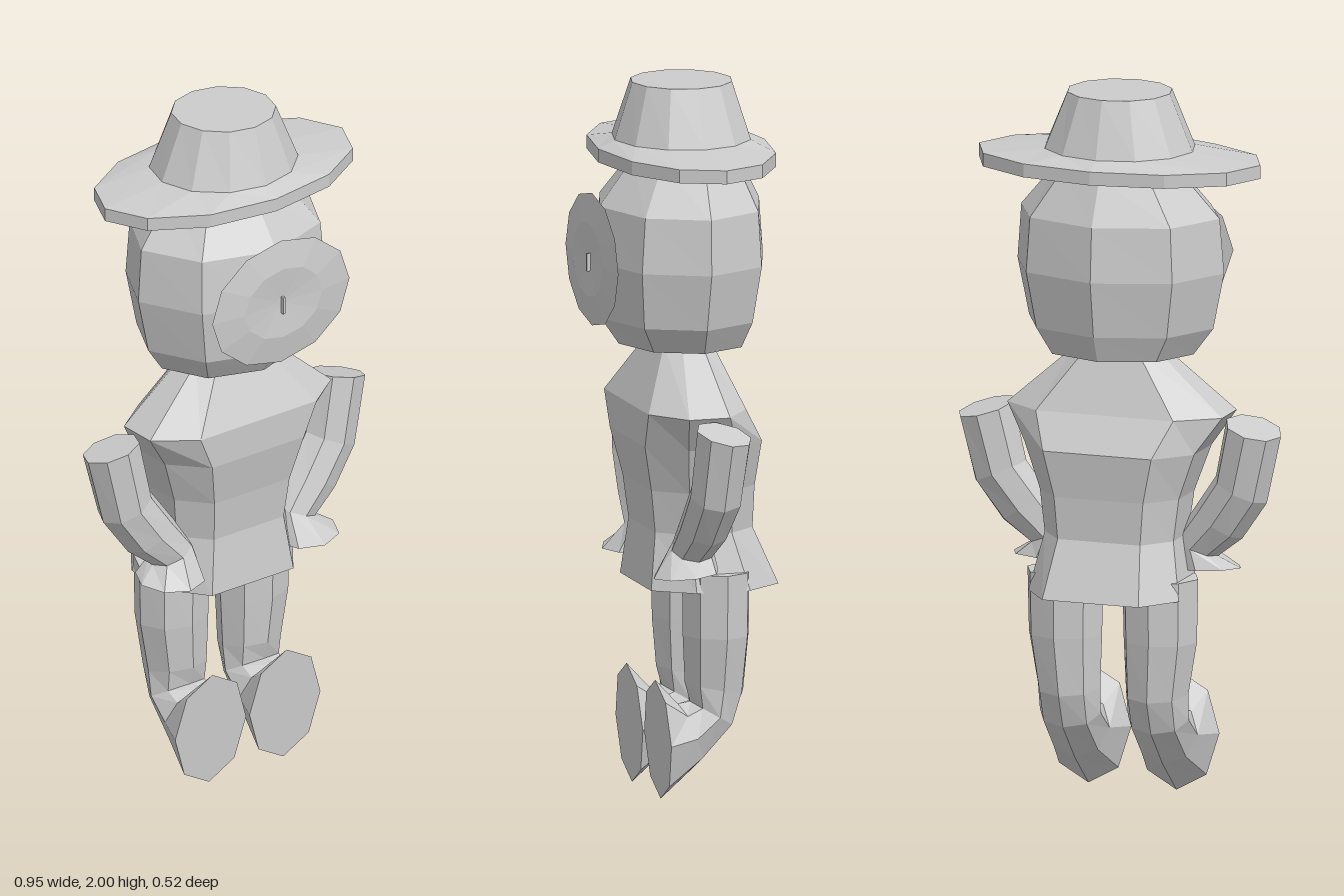
import * as THREE from 'three';

const grey = new THREE.MeshStandardMaterial({ color: 0xcccccc, flatShading: true });
grey.name = 'plainGrey';

// Closed skin over rings of corners, with a flat cap at each end
function loft(name, rings) {
  const pos = [];
  const n = rings[0].length;
  const tri = (...pts) => pts.forEach((p) => pos.push(p.x, p.y, p.z));
  const centre = (ring) => ring.reduce((s, p) => s.add(p), new THREE.Vector3()).divideScalar(n);
  const first = rings[0], last = rings[rings.length - 1];
  const c0 = centre(first), c1 = centre(last);
  for (let j = 0; j < n; j++) {
    const k = (j + 1) % n;
    tri(c0, first[k], first[j]);
    tri(c1, last[j], last[k]);
    for (let i = 0; i < rings.length - 1; i++) {
      const a = rings[i], b = rings[i + 1];
      tri(a[j], a[k], b[j]);
      tri(a[k], b[k], b[j]);
    }
  }
  const geo = new THREE.BufferGeometry();
  geo.setAttribute('position', new THREE.Float32BufferAttribute(pos, 3));
  geo.computeVertexNormals();
  const mesh = new THREE.Mesh(geo, grey);
  mesh.name = name;
  return mesh;
}

// Ring of n corners around centre c, spanned by half axes u and v; s = -1 mirrors it in x
function ring(n, c, u, v, s = 1) {
  return Array.from({ length: n }, (_, i) => {
    const t = (s * i * 2 * Math.PI) / n;
    const at = (k) => c[k] + Math.cos(t) * u[k] + Math.sin(t) * v[k];
    return new THREE.Vector3(s * at(0), at(1), at(2));
  });
}

// Level ring from height, half width, front z and back z
const level = (n) => ([y, rx, front, back]) =>
  ring(n, [0, y, (front + back) / 2], [rx, 0, 0], [0, 0, (front - back) / 2]);

// Level eight-cornered ring with flat front, back and sides
const bodyOutline = [[1, 0.42], [0.64, 1], [-0.64, 1], [-1, 0.42],
  [-1, -0.42], [-0.64, -1], [0.64, -1], [1, -0.42]];
const bodyRing = ([y, rx, front, back]) => bodyOutline.map(([x, z]) =>
  new THREE.Vector3(x * rx, y, (front + back) / 2 + (z * (front - back)) / 2));

export function createModel() {
  const model = new THREE.Group();
  model.name = 'hattedFigure';

  // Hat with a wide oval brim
  model.add(loft('hat', [
    [2.0, 0.148, 0.126, -0.16],
    [1.84, 0.215, 0.177, -0.211],
    [1.818, 0.415, 0.225, -0.259],
    [1.78, 0.415, 0.225, -0.259],
  ].map(level(12))));

  // Head
  model.add(loft('head', [
    [1.785, 0.18, 0.125, -0.18],
    [1.655, 0.293, 0.222, -0.243],
    [1.5, 0.305, 0.238, -0.254],
    [1.34, 0.272, 0.217, -0.228],
    [1.265, 0.217, 0.165, -0.196],
  ].map(level(8))));

  // Shallow dished face plate with a tiny nose
  model.add(loft('facePlate', [
    [0.24, 0.187, 0.243],
    [0.135, 0.105, 0.256],
    [0.02, 0.016, 0.248],
  ].map(([rx, ry, z]) => ring(12, [0, 1.508, z], [rx, 0, 0], [0, ry, 0]))));
  const nose = new THREE.Mesh(new THREE.BoxGeometry(0.008, 0.05, 0.012), grey);
  nose.name = 'nose';
  nose.position.set(0, 1.5, 0.253);
  model.add(nose);

  // Torso from neck to hem
  model.add(loft('torso', [
    [1.268, 0.125, 0.06, -0.08],
    [1.1, 0.317, 0.143, -0.14],
    [1.0, 0.25, 0.14, -0.2],
    [0.87, 0.205, 0.112, -0.188],
    [0.75, 0.19, 0.098, -0.185],
    [0.59, 0.222, 0.116, -0.254],
  ].map(bodyRing)));

  for (const [side, s] of [['left', 1], ['right', -1]]) {
    // Arm bent inward at the elbow, flaring to a flat hand
    model.add(loft(side + 'Arm', [
      [[0.395, 1.07, -0.015], [0.08, -0.02, 0], [0, 0.012, 0.078]],
      [[0.355, 0.89, -0.005], [0.075, -0.033, 0], [0, 0, 0.075]],
      [[0.285, 0.79, 0.008], [0.068, -0.042, 0], [0, 0, 0.068]],
      [[0.215, 0.715, 0.02], [0.062, -0.025, 0], [0, 0, 0.06]],
      [[0.235, 0.65, 0.045], [0.1, 0.004, 0], [0, -0.008, 0.094]],
    ].map(([c, u, v]) => ring(8, c, u, v, s))));

    // Leg curving forward into a flared, flat-ended foot
    model.add(loft(side + 'Leg', [
      [[0.14, 0.64, -0.072], [0.112, 0, 0], [0, 0, 0.098]],
      [[0.14, 0.46, -0.072], [0.108, 0, 0], [0, 0, 0.096]],
      [[0.13, 0.31, -0.07], [0.092, 0, 0], [0, 0.015, 0.085]],
      [[0.13, 0.235, -0.06], [0.09, 0, 0], [0, 0.035, 0.06]],
      [[0.13, 0.18, 0.005], [0.092, 0, 0], [0, 0.085, 0.03]],
      [[0.13, 0.168, 0.093], [0.124, 0, 0], [0, 0.168, 0.008]],
    ].map(([c, u, v]) => ring(8, c, u, v, s))));
  }

  return model;
}
